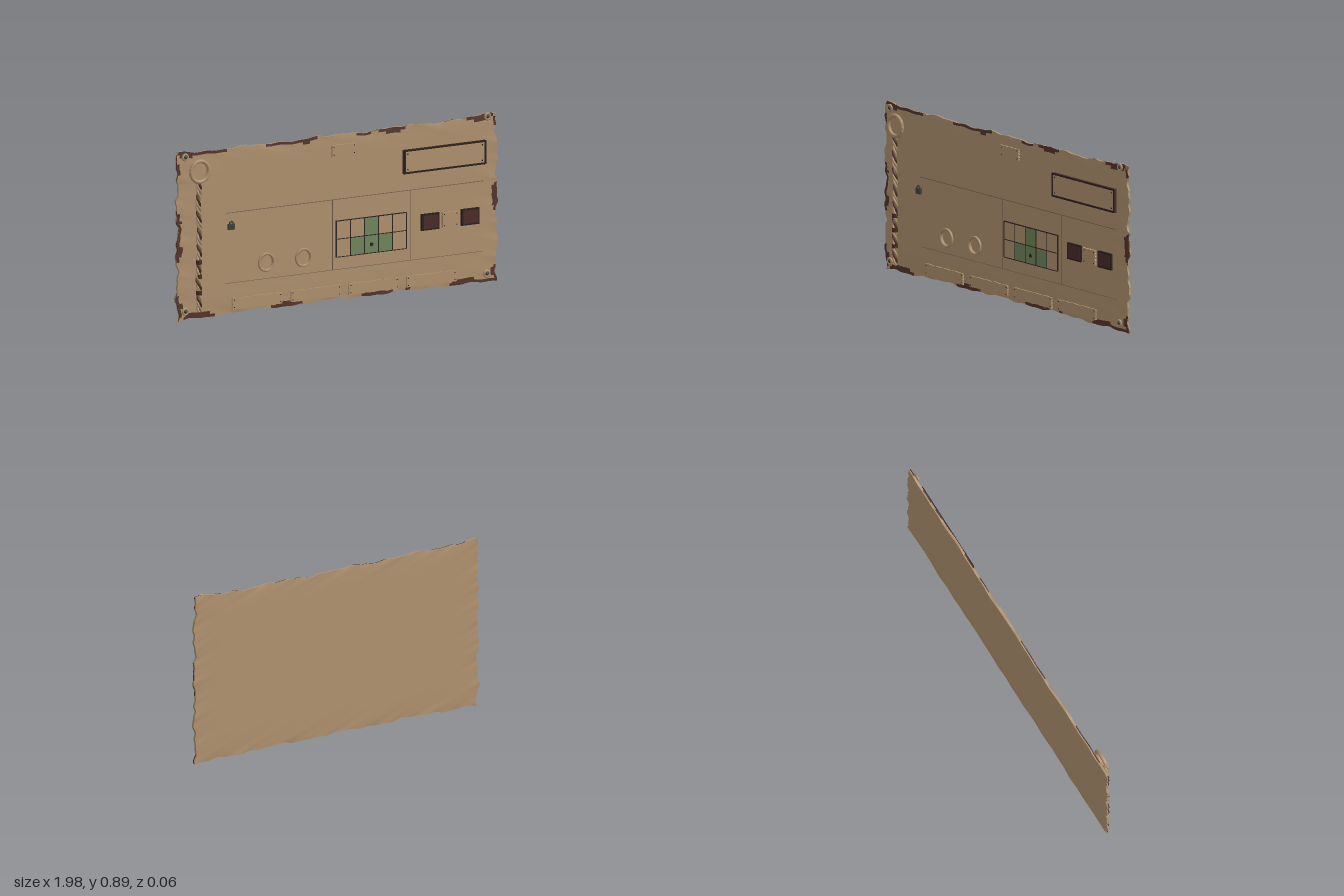
import * as THREE from 'three';

const mat = (name, color, side = THREE.FrontSide) => {
  const m = new THREE.MeshStandardMaterial({ color, side });
  m.name = name;
  return m;
};

export function createModel() {
  const root = new THREE.Group();
  root.name = 'parchmentPanel';
  const paper = mat('parchment', 0xb0926f);
  const burn = mat('scorchedEdge', 0x54352c);
  const wood = mat('darkWood', 0x4a2c28);
  const rim = mat('blackenedRim', 0x2b211e);
  const green = mat('mossGreen', 0x71865c);
  const iron = mat('iron', 0x3c4542);
  const ink = mat('inkLine', 0x75604e);

  const add = (name, geo, material, x = 0, y = 0, z = 0, parent = root) => {
    const m = new THREE.Mesh(geo, material);
    m.name = name;
    m.position.set(x, y, z);
    parent.add(m);
    return m;
  };
  const box = (name, material, x0, x1, y0, y1, z0, z1) =>
    add(name, new THREE.BoxGeometry(x1 - x0, y1 - y0, z1 - z0), material,
      (x0 + x1) / 2, (y0 + y1) / 2, (z0 + z1) / 2);
  // smooth irregular wave in about -1..1
  const wave = (t, p) =>
    0.45 * Math.sin(t * 13 + p) + 0.3 * Math.sin(t * 29 + p * 2.3) + 0.25 * Math.sin(t * 53 + p * 3.1);

  // ---- Ragged sheet: a box grid whose border is pushed in and out
  const sheet = new THREE.BoxGeometry(2, 2, 2, 130, 64, 2);
  const pos = sheet.attributes.position;
  const uv = [];
  for (let i = 0; i < pos.count; i++) {
    const u = pos.getX(i), v = pos.getY(i), s = pos.getZ(i);
    uv.push([u, v]);
    const eu = Math.abs(u) ** 14, ev = Math.abs(v) ** 10;
    const x = u * 0.975 + Math.sign(u) * eu * (0.014 * wave(v * 0.9, u > 0 ? 1.2 : 4) - 0.008 * v ** 8 + 0.004);
    const y = 0.452 + v * 0.428 + Math.sign(v) * ev * (0.009 * wave(u, v > 0 ? 2.5 : 5.3) + 0.012 * u ** 6);
    const edge = Math.max(eu, ev);
    const ripple = 0.003 * edge * wave(u * 0.8 + v * 1.1, 0.7);
    pos.setXYZ(i, x, y, -0.021 + s * (0.009 - 0.003 * edge) + ripple);
  }
  // scorched patches: border faces picked by a slow wave along each edge
  const plain = [], dark = [], idx = sheet.index.array;
  for (let k = 0; k < idx.length; k += 6) {
    const quad = Array.from(idx.slice(k, k + 6));
    let u = 0, v = 0, z = 0;
    quad.forEach((i) => { u += uv[i][0] / 6; v += uv[i][1] / 6; z += pos.getZ(i) / 6; });
    const du = (1 - Math.abs(u)) * 0.98, dv = (1 - Math.abs(v)) * 0.44;
    const t = du < dv ? v * 0.55 + (u > 0 ? 3 : 7) : u + (v > 0 ? 1 : 5);
    const depth = 0.03 * (Math.sin(t * 11) + 0.6 * Math.sin(t * 23 + 1)) + (v < 0 ? 0.004 : -0.004);
    const onFront = z > -0.019;
    (onFront && Math.min(du, dv) < Math.min(depth, 0.032) ? dark : plain).push(...quad);
  }
  sheet.setIndex(plain.concat(dark));
  sheet.clearGroups();
  sheet.addGroup(0, plain.length, 0);
  sheet.addGroup(plain.length, dark.length, 1);
  sheet.computeVertexNormals();
  add('sheet', sheet, [paper, burn]);

  // ---- Torn paper plates
  const disc = (r, d, n = 16) => new THREE.CylinderGeometry(r, r, d, n).rotateX(Math.PI / 2);
  const tornPlate = (name, cx, cy, w, h, z0, z1) => {
    const pts = [], n = 14;
    const corners = [[-1, -1], [1, -1], [1, 1], [-1, 1]];
    corners.forEach(([ax, ay], c) => {
      const [bx, by] = corners[(c + 1) % 4];
      for (let i = 0; i < n; i++) {
        const t = i / n, k = 0.0025 * wave(t * 2 + c, cx * 9);
        pts.push(new THREE.Vector2((ax + (bx - ax) * t) * (w / 2 + k), (ay + (by - ay) * t) * (h / 2 + k)));
      }
    });
    const geo = new THREE.ExtrudeGeometry(new THREE.Shape(pts), { depth: z1 - z0, bevelEnabled: false });
    add(name, geo, paper, cx, cy, z0);
    for (const sx of [-1, 1]) for (const sy of [-1, 1])
      add(name + 'Pin', disc(0.003, 0.003, 8), rim, cx + sx * (w / 2 - 0.01), cy + sy * (h / 2 - 0.01), z1);
  };
  [-0.495, -0.135, 0.22, 0.575].forEach((x) => tornPlate('tabPlate', x, 0.07, 0.305, 0.058, -0.012, -0.004));
  tornPlate('topPlate', 0.036, 0.8, 0.145, 0.06, -0.012, -0.002);
  tornPlate('middleButton', 0.685, 0.37, 0.095, 0.078, -0.008, 0.004);

  // ---- Corner studs
  [[-0.935, 0.865], [0.92, 0.88], [-0.935, 0.06], [0.915, 0.06]].forEach(([x, y]) => {
    add('studRing', new THREE.TorusGeometry(0.015, 0.006, 8, 20), paper, x, y, -0.008);
    add('studHead', new THREE.SphereGeometry(0.011, 12, 8), iron, x, y, -0.009);
  });

  // ---- Title frame with a paper inset
  box('titleFrame', wood, 0.395, 0.898, 0.637, 0.762, -0.004, 0.009);
  const border = new THREE.Shape([[0.395, 0.637], [0.898, 0.637], [0.898, 0.762], [0.395, 0.762]]
    .map((p) => new THREE.Vector2(...p)));
  border.holes.push(new THREE.Path([[0.404, 0.646], [0.404, 0.753], [0.889, 0.753], [0.889, 0.646]]
    .map((p) => new THREE.Vector2(...p))));
  add('titleRim', new THREE.ExtrudeGeometry(border, { depth: 0.004, bevelEnabled: false }), rim, 0, 0, 0.009);
  box('titleInset', paper, 0.405, 0.888, 0.647, 0.752, 0.009, 0.0105);
  for (const x of [0.418, 0.875]) for (const y of [0.659, 0.74])
    add('titlePin', disc(0.004, 0.003, 8), rim, x, y, 0.011);

  // ---- Dark square buttons
  [0.563, 0.808].forEach((x) => {
    box('buttonBase', rim, x - 0.054, x + 0.054, 0.328, 0.414, -0.008, 0.004);
    box('buttonFace', wood, x - 0.045, x + 0.045, 0.337, 0.405, 0.004, 0.0075);
  });

  // ---- Dividing lines
  box('upperLine', ink, -0.69, 0.89, 0.546, 0.549, -0.006, -0.003);
  box('lowerLine', ink, -0.69, 0.89, 0.1785, 0.1805, -0.012, -0.01);
  [-0.03, 0.45].forEach((x) => box('uprightLine', ink, x - 0.001, x + 0.001, 0.18, 0.547, -0.012, -0.01));

  // ---- Slot grid, five by two, some cells green
  const cw = 0.086, gx = -0.01, gy = 0.245, ch = 0.094;
  for (let r = 0; r < 2; r++) for (let c = 0; c < 5; c++) {
    const isGreen = r === 1 ? c === 2 : c >= 1 && c <= 3;
    box('slot', isGreen ? green : paper, gx + c * cw + 0.002, gx + (c + 1) * cw - 0.002,
      gy + r * ch + 0.002, gy + (r + 1) * ch - 0.002, -0.01, -0.005);
  }
  for (let c = 0; c <= 5; c++) {
    const x = gx + c * cw;
    box('gridUpright', rim, x - 0.002, x + 0.002, gy, gy + 2 * ch, -0.011, -0.004);
  }
  for (let r = 0; r <= 2; r++) {
    const y = gy + r * ch;
    box('gridRail', rim, gx, gx + 5 * cw, y - 0.002, y + 0.002, -0.011, -0.004);
  }
  add('slotDot', disc(0.01, 0.004), rim, 0.205, 0.29, -0.004);

  // ---- Round dials
  const ringProfile = (ro, ri, d) => new THREE.LatheGeometry(
    [[ri, -d], [ro - 0.003, -d], [ro, -d * 0.5], [ro, d * 0.5], [ro - 0.003, d], [ri, d], [ri, -d]]
      .map((p) => new THREE.Vector2(...p)), 40).rotateX(Math.PI / 2);
  [-0.452, -0.224].forEach((x) => add('dialRing', ringProfile(0.05, 0.038, 0.007), paper, x, 0.27, 0.013));

  // ---- Padlock
  box('lockBody', iron, -0.688, -0.652, 0.464, 0.494, 0.012, 0.026);
  add('lockShackle', new THREE.TorusGeometry(0.011, 0.004, 8, 16, Math.PI), iron, -0.67, 0.496, 0.019);
  add('lockKeyhole', disc(0.004, 0.002, 8), rim, -0.67, 0.48, 0.0265);

  // ---- Twisted cord hanging from a ring, with dark bindings
  const ringX = -0.862;
  add('cordRing', new THREE.TorusGeometry(0.054, 0.01, 10, 40), paper, ringX, 0.787, 0.016);
  for (let i = 0; i < 16; i++) {
    const a = (i / 16) * Math.PI * 2;
    add('ringBead', new THREE.SphereGeometry(0.0045, 8, 6), paper,
      ringX + Math.cos(a) * 0.063, 0.787 + Math.sin(a) * 0.058, 0.018);
  }
  for (let s = 0; s < 3; s++) {
    const pts = [];
    for (let i = 0; i <= 90; i++) {
      const t = i / 90, a = t * 48 + s * Math.PI * 2 / 3;
      pts.push(new THREE.Vector3(ringX - 0.004 + 0.006 * wave(t * 0.8, 2) + Math.cos(a) * 0.009,
        0.055 + t * 0.67, 0.015 + Math.sin(a) * 0.006));
    }
    add('cordStrand', new THREE.TubeGeometry(new THREE.CatmullRomCurve3(pts), 270, 0.0065, 6),
      s === 2 ? burn : paper);
  }
  [0.155, 0.24, 0.315].forEach((y) => add('cordBinding',
    new THREE.CylinderGeometry(0.015, 0.015, 0.022, 12), wood, ringX - 0.004, y, 0.015));

  return root;
}
